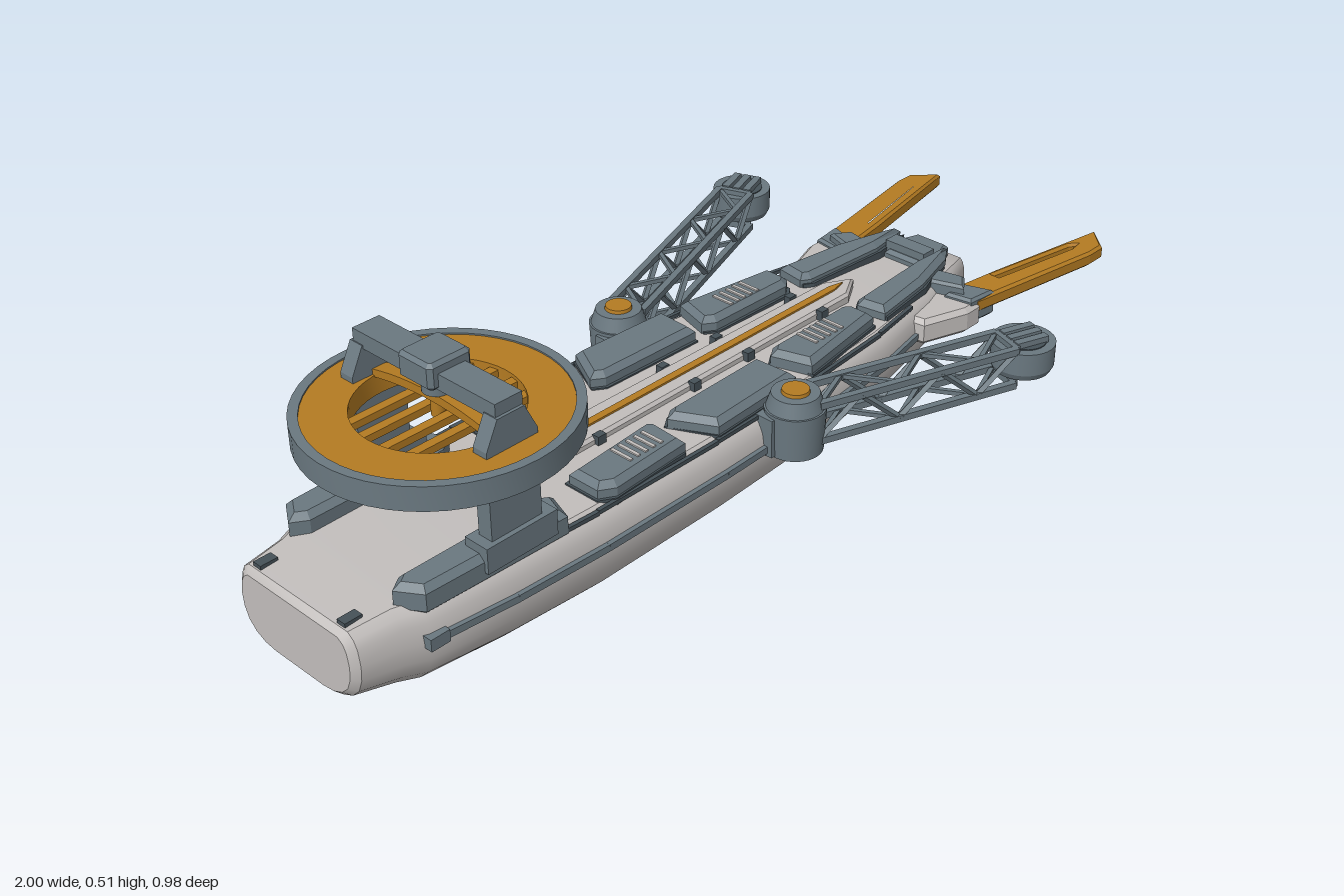
import * as THREE from 'three';
import { toCreasedNormals } from 'three/addons/utils/BufferGeometryUtils.js';

const mat = (name, color) => Object.assign(new THREE.MeshStandardMaterial({ color }), { name });
const HULL = mat('hullGrey', 0xc2bebc);
const STEEL = mat('steelGrey', 0x6a7880);
const DARK = mat('darkGrey', 0x465158);
const ORANGE = mat('ochre', 0xb47b22);
const CZ = 0.022; // centreline of the ship

function add(parent, name, geometry, material, x = 0, y = 0, z = 0) {
  const mesh = new THREE.Mesh(geometry, material);
  mesh.name = name;
  mesh.position.set(x, y, z);
  parent.add(mesh);
  return mesh;
}

// Box given by its extents
function box(parent, name, material, x0, x1, y0, y1, z0, z1) {
  return add(parent, name, new THREE.BoxGeometry(x1 - x0, y1 - y0, Math.abs(z1 - z0)), material,
    (x0 + x1) / 2, (y0 + y1) / 2, (z0 + z1) / 2);
}

function cylinder(parent, name, material, r0, r1, y0, y1, x = 0, z = 0) {
  return add(parent, name, new THREE.CylinderGeometry(r1, r0, y1 - y0, 32), material, x, (y0 + y1) / 2, z);
}

// Plate with a bevelled edge, from a plan outline of [x, z] corners
function slab(parent, name, material, outline, side, y0, y1, bevel = 0, hole) {
  const plan = (pts) => pts.map(([x, z]) => new THREE.Vector2(x, z * side));
  const shape = new THREE.Shape(plan(outline));
  if (hole) shape.holes.push(new THREE.Path(plan(hole)));
  const g = new THREE.ExtrudeGeometry(shape, {
    depth: y1 - y0 - 2 * bevel, bevelEnabled: bevel > 0, bevelSize: bevel,
    bevelThickness: bevel, bevelOffset: -bevel, bevelSegments: 1,
  });
  g.rotateX(Math.PI / 2);
  return add(parent, name, g, material, 0, y1 - bevel, 0);
}

// Bar between two points
function strut(parent, name, material, a, b, t) {
  const p = new THREE.Vector3(...a), q = new THREE.Vector3(...b);
  const mesh = add(parent, name, new THREE.BoxGeometry(t, t, p.distanceTo(q)), material);
  mesh.position.copy(p).lerp(q, 0.5);
  mesh.quaternion.setFromUnitVectors(new THREE.Vector3(0, 0, 1), q.sub(p).normalize());
  return mesh;
}

// Hull stations: x, half width, bottom, top
const STATIONS = [
  [-1, 0.142, 0.05, 0.178], [-0.988, 0.156, 0.04, 0.188], [-0.91, 0.168, 0.022, 0.193],
  [-0.87, 0.186, 0.016, 0.195], [-0.7, 0.203, 0.008, 0.197], [-0.5, 0.212, 0.002, 0.197], [-0.2, 0.212, 0.006, 0.197],
  [0.05, 0.205, 0.013, 0.196], [0.3, 0.183, 0.027, 0.193], [0.5, 0.145, 0.043, 0.187],
  [0.62, 0.106, 0.055, 0.18], [0.705, 0.076, 0.066, 0.17], [0.72, 0.063, 0.076, 0.16],
];

function hullGeometry() {
  const half = [[0.45, 0], [0.64, 0.03], [0.8, 0.11], [0.92, 0.24], [0.985, 0.42], [1, 0.62], [0.97, 0.82], [0.92, 0.93], [0.83, 1]];
  const ring = [...half, ...half.map(([z, y]) => [-z, y]).reverse()];
  const n = ring.length, pos = [], idx = [];
  for (const [x, w, b, t] of STATIONS) for (const [z, y] of ring) pos.push(x, b + (t - b) * y, z * w);
  for (let i = 0; i < STATIONS.length - 1; i++) {
    for (let j = 0; j < n; j++) {
      const k = (j + 1) % n, a = i * n + j, b = i * n + k, c = b + n, d = a + n;
      idx.push(a, d, c, a, c, b);
    }
  }
  const e = (STATIONS.length - 1) * n;
  for (let j = 1; j < n - 1; j++) idx.push(0, j, j + 1, e, e + j + 1, e + j);
  const g = new THREE.BufferGeometry();
  g.setAttribute('position', new THREE.Float32BufferAttribute(pos, 3));
  g.setIndex(idx);
  return toCreasedNormals(g, 0.6);
}

// Deck armour, rails, bow mounts and fins for one side
function buildSide(ship, s) {
  const panels = [
    [[-0.48, 0.1], [-0.28, 0.085], [-0.265, 0.1], [-0.27, 0.178], [-0.45, 0.188], [-0.48, 0.17]],
    [[-0.235, 0.1], [-0.21, 0.083], [0.03, 0.078], [0.035, 0.175], [-0.19, 0.186]],
    [[0.06, 0.09], [0.085, 0.073], [0.29, 0.07], [0.31, 0.085], [0.31, 0.14], [0.085, 0.172]],
    [[0.34, 0.075], [0.36, 0.063], [0.56, 0.05], [0.655, 0.062], [0.62, 0.085], [0.5, 0.118], [0.35, 0.138]],
  ];
  panels.forEach((p, i) => {
    slab(ship, 'deckPanel', STEEL, p, s, 0.18, i === 3 ? 0.22 : 0.229, 0.012);
    slab(ship, 'panelFoot', DARK, p.map(([x, z]) => [x * 1.01, z < 0.11 ? z - 0.006 : z + 0.004]), s, 0.18, 0.2);
  });
  // Vent slats on the first and third panels
  for (const [x, z] of [[-0.39, 0.135], [0.14, 0.11]])
    for (let i = 0; i < 5; i++) box(ship, 'ventSlat', HULL, x + i * 0.019, x + i * 0.019 + 0.007, 0.226, 0.232, s * (z - 0.025), s * (z + 0.025));
  // Side rail following the hull, and the deck edge trim
  for (let i = 3; i < 9; i++) {
    const [x0, w0] = STATIONS[i], [x1, w1] = STATIONS[i + 1];
    const end = Math.min(x1, 0.43), wEnd = w0 + (w1 - w0) * (end - x0) / (x1 - x0);
    strut(ship, 'sideRail', STEEL, [x0, 0.132, s * w0], [end, 0.132, s * wEnd], 0.014);
    strut(ship, 'deckTrim', DARK, [x0, 0.194, s * (w0 * 0.9)], [end, 0.192, s * (wEnd * 0.9)], 0.008);
  }
  box(ship, 'railCap', STEEL, -0.88, -0.84, 0.12, 0.144, s * 0.178, s * 0.198);
  box(ship, 'sternCleat', DARK, -0.985, -0.95, 0.185, 0.196, s * 0.1, s * 0.12);
  // Bow mount and fin
  slab(ship, 'finSponson', HULL, [[0.42, 0.1], [0.58, 0.1], [0.63, 0.15], [0.57, 0.212], [0.53, 0.212], [0.43, 0.178]], s, 0.115, 0.172, 0.01);
  slab(ship, 'finBracket', STEEL, [[0.53, 0.09], [0.585, 0.08], [0.6, 0.15], [0.56, 0.178]], s, 0.15, 0.2, 0.006);
  slab(ship, 'finRoot', STEEL, [[0.54, 0.145], [0.6, 0.145], [0.62, 0.212], [0.55, 0.205]], s, 0.125, 0.182, 0.006);
  slab(ship, 'fin', ORANGE, [[0.56, 0.135], [0.7, 0.155], [0.995, 0.21], [0.945, 0.262], [0.9, 0.262], [0.57, 0.208]], s, 0.145, 0.178, 0.006,
    [[0.68, 0.166], [0.9, 0.207], [0.915, 0.217], [0.89, 0.218], [0.68, 0.18]]);
  // Pylon carrying the ring
  slab(ship, 'pylonDeck', STEEL, [[-0.9, 0.135], [-0.87, 0.115], [-0.58, 0.115], [-0.55, 0.135], [-0.57, 0.192], [-0.87, 0.182]], s, 0.175, 0.233, 0.012);
  box(ship, 'pylonFoot', STEEL, -0.75, -0.595, 0.2, 0.25, s * 0.14, s * 0.194);
  const pylon = new THREE.Shape([[-0.73, 0.2], [-0.62, 0.2], [-0.62, 0.42], [-0.646, 0.472], [-0.704, 0.472], [-0.73, 0.42]].map((p) => new THREE.Vector2(...p)));
  add(ship, 'pylon', new THREE.ExtrudeGeometry(pylon, { depth: 0.032, bevelEnabled: false }), STEEL, 0, 0, s * 0.168 - 0.016);
}

// Ring, slats, arched rib and overhead beam
function buildRing(ship) {
  const ring = new THREE.Group();
  ring.name = 'ring';
  ring.position.x = -0.673;
  ship.add(ring);
  const band = (name, material, r0, r1, y0, y1) => {
    const p = [[r1, y0], [r1, y1], [r0, y1], [r0, y0], [r1, y0]].map((q) => new THREE.Vector2(...q));
    add(ring, name, toCreasedNormals(new THREE.LatheGeometry(p, 48), 0.6), material);
  };
  band('rim', STEEL, 0.228, 0.246, 0.365, 0.412);
  band('disc', ORANGE, 0.148, 0.23, 0.37, 0.409);
  for (const z of [-0.073, -0.026, 0.026, 0.073]) {
    const h = Math.sqrt(0.15 ** 2 - z * z) + 0.004;
    box(ring, 'slat', ORANGE, -h, h, 0.388, 0.402, z - 0.009, z + 0.009);
  }
  const arch = new THREE.Shape();
  arch.moveTo(-0.152, 0.405).quadraticCurveTo(0, 0.438, 0.152, 0.405);
  arch.lineTo(0.152, 0.42).quadraticCurveTo(0, 0.456, -0.152, 0.42);
  const rib = new THREE.ExtrudeGeometry(arch, { depth: 0.03, bevelEnabled: false, curveSegments: 12 });
  add(ring, 'archedRib', rib.translate(0, 0, -0.015).rotateY(Math.PI / 2), ORANGE);
  cylinder(ring, 'stem', ORANGE, 0.013, 0.013, 0.39, 0.445);
  cylinder(ring, 'collar', STEEL, 0.026, 0.026, 0.438, 0.47);
  box(ring, 'beam', STEEL, -0.029, 0.029, 0.465, 0.496, -0.178, 0.178);
  slab(ring, 'hub', STEEL, [[-0.046, -0.034], [-0.038, -0.042], [0.038, -0.042], [0.046, -0.034], [0.046, 0.034], [0.038, 0.042], [-0.038, 0.042], [-0.046, 0.034]], 1, 0.465, 0.516, 0.007);
}

// Truss arm from its pivot to a round head
function buildArm(model, x, z, ex, ez) {
  const dx = ex - x, dz = ez - z, L = Math.hypot(dx, dz), s = Math.sign(z);
  box(model, 'armMount', STEEL, x - 0.065, x + 0.055, 0.118, 0.198, CZ + s * 0.16, z);
  const arm = new THREE.Group();
  arm.name = 'trussArm';
  arm.position.set(x, 0, z);
  arm.rotation.y = Math.atan2(-dz, dx);
  model.add(arm);
  cylinder(arm, 'pivotBase', STEEL, 0.055, 0.059, 0.115, 0.205);
  cylinder(arm, 'pivotTop', STEEL, 0.055, 0.046, 0.205, 0.234);
  cylinder(arm, 'pivotCap', ORANGE, 0.028, 0.026, 0.23, 0.241);
  const lo = 0.14, hi = 0.216, w = 0.037, start = 0.03, end = L - 0.04;
  const n = Math.round((end - start) / 0.085), at = (i) => start + (end - start) * i / n;
  for (const y of [lo, hi]) for (const k of [-w, w]) strut(arm, 'rail', STEEL, [start, y, k], [end, y, k], 0.014);
  for (let i = 0; i < n; i++) {
    const f = i % 2 ? 1 : -1;
    for (const y of [lo, hi]) strut(arm, 'crossBrace', STEEL, [at(i), y, -f * w], [at(i + 1), y, f * w], 0.009);
    for (const k of [-w, w]) strut(arm, 'sideBrace', STEEL, [at(i), f > 0 ? hi : lo, k], [at(i + 1), f > 0 ? lo : hi, k], 0.01);
  }
  for (const y of [lo, hi]) strut(arm, 'endTie', STEEL, [end, y, -w], [end, y, w], 0.014);
  cylinder(arm, 'head', STEEL, 0.057, 0.063, 0.152, 0.165, L);
  cylinder(arm, 'head', STEEL, 0.063, 0.063, 0.165, 0.212, L);
  cylinder(arm, 'headRecess', DARK, 0.045, 0.045, 0.2, 0.214, L);
  for (const k of [-0.024, 0, 0.024]) box(arm, 'headBar', STEEL, L - 0.036, L + 0.036, 0.205, 0.226, k - 0.008, k + 0.008);
}

export function createModel() {
  const model = new THREE.Group();
  model.name = 'ship';
  const ship = new THREE.Group();
  ship.name = 'body';
  ship.position.z = CZ;
  model.add(ship);

  add(ship, 'hull', hullGeometry(), HULL);
  // Raised spine with its pointed stripe
  slab(ship, 'spine', HULL, [[-0.55, -0.042], [0.36, -0.036], [0.42, 0], [0.36, 0.036], [-0.55, 0.042]], 1, 0.18, 0.212, 0.006);
  slab(ship, 'spineStripe', ORANGE, [[-0.5, -0.008], [0.35, -0.008], [0.385, 0], [0.35, 0.008], [-0.5, 0.008]], 1, 0.209, 0.216);
  for (const x of [-0.35, -0.1, 0.05, 0.27]) for (const s of [-1, 1]) box(ship, 'spineClamp', DARK, x - 0.01, x + 0.01, 0.19, 0.215, s * 0.034, s * 0.05);
  // Bow hatch
  slab(ship, 'bowHatch', STEEL, [[0.58, -0.045], [0.655, -0.052], [0.69, -0.04], [0.69, 0.04], [0.655, 0.052], [0.58, 0.045]], 1, 0.16, 0.2, 0.008);
  box(ship, 'bowBar', STEEL, 0.59, 0.625, 0.19, 0.217, -0.05, 0.05);

  for (const s of [1, -1]) buildSide(ship, s);
  buildRing(ship);
  buildArm(model, -0.025, -0.213, 0.58, -0.43);
  buildArm(model, -0.025, 0.247, 0.45, 0.422);
  return model;
}
